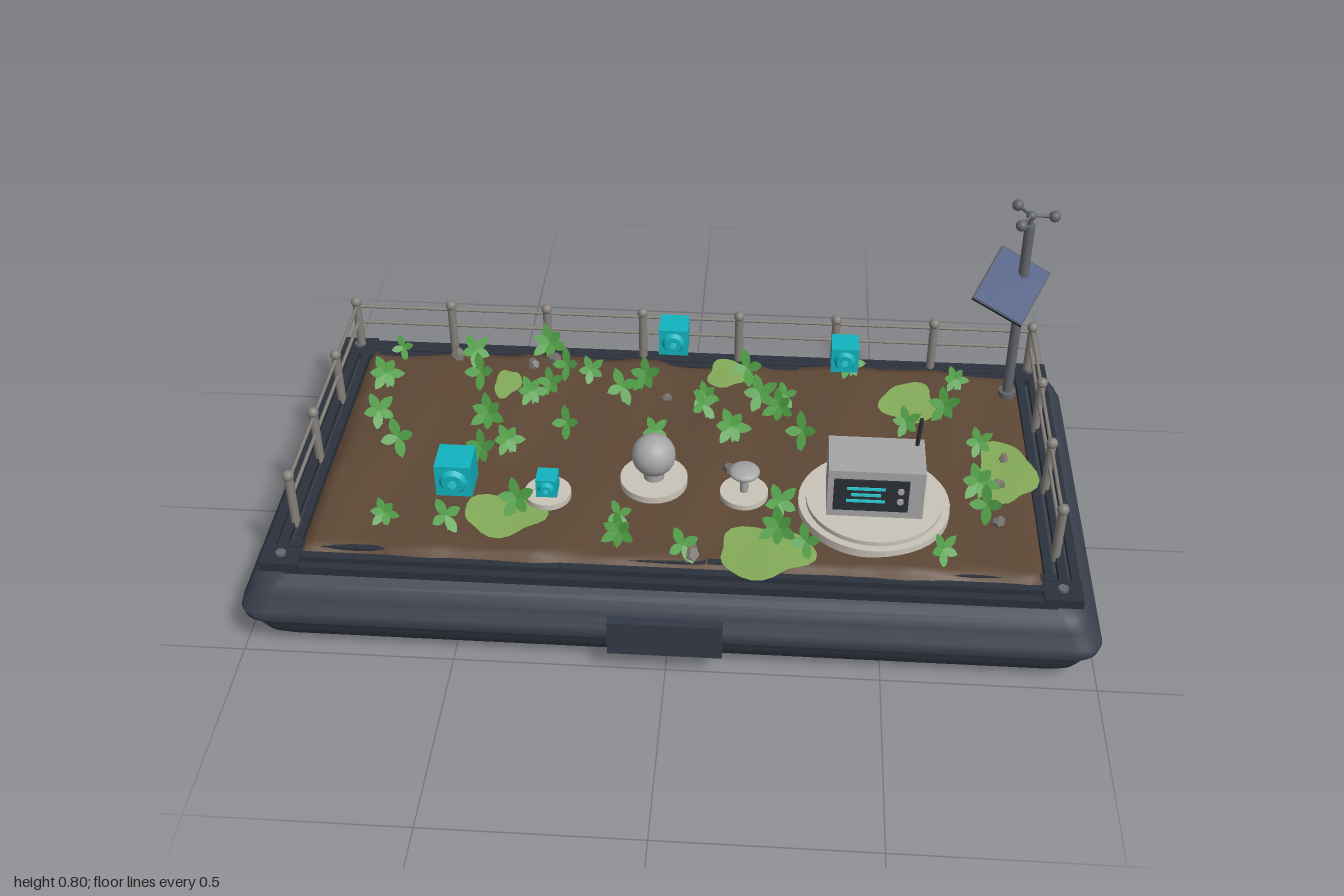
import * as THREE from 'three';
import { mergeGeometries, toCreasedNormals } from 'three/addons/utils/BufferGeometryUtils.js';

const mat = (color, extra = {}) => new THREE.MeshStandardMaterial({ color, ...extra });
const M = {
  hull: mat(0x3a404c), rail: mat(0x2c323c), soil: mat(0x5e4836, { side: THREE.DoubleSide }),
  moss: mat(0x86ad5a, { side: THREE.DoubleSide }), leaf: mat(0x4f9c45, { side: THREE.DoubleSide }),
  metal: mat(0x85807a), mast: mat(0x63666c), stone: mat(0xcac4b8), grey: mat(0xa6a6a6),
  rock: mat(0x77726c, { flatShading: true }), cyan: mat(0x12b4c0), lens: mat(0x2fd0dc),
  dark: mat(0x2b3036), panel: mat(0x2b4272), plate: mat(0x343a46),
};

export function createModel() {
  const root = new THREE.Group();
  const add = (name, geo, m, x = 0, y = 0, z = 0, parent = root) => {
    const mesh = new THREE.Mesh(geo, m);
    mesh.name = name;
    mesh.position.set(x, y, z);
    parent.add(mesh);
    return mesh;
  };
  const box = (w, h, d) => new THREE.BoxGeometry(w, h, d);
  const cyl = (r, h, r2 = r, n = 16) => new THREE.CylinderGeometry(r, r2, h, n);
  const ball = (r) => new THREE.SphereGeometry(r, 24, 16);
  const rod = (name, a, b, r, m) => {
    const A = new THREE.Vector3(...a), d = new THREE.Vector3(...b).sub(A);
    const mesh = add(name, cyl(r, d.length(), r, 10), m);
    mesh.position.copy(A).addScaledVector(d, 0.5);
    mesh.quaternion.setFromUnitVectors(new THREE.Vector3(0, 1, 0), d.normalize());
    return mesh;
  };

  // Float hull: rounded rectangles swept through an inset/height profile
  const HX = 1, HZ = 0.517, R = 0.06, STEPS = 7;
  const profile = [
    [null, 0], [0.11, 0], [0.08, 0.007], [0.053, 0.022], [0.033, 0.045], [0.02, 0.075], [0.014, 0.093],
    [0.003, 0.102], [0, 0.118], [0.004, 0.132], [0.014, 0.144], [0.02, 0.165], [0.036, 0.19],
    [0.055, 0.207], [0.08, 0.216], [0.11, 0.219], [0.15, 0.214], [0.17, 0.19], [null, 0.19],
  ];
  const pos = [], idx = [], N = 4 * (STEPS + 1);
  for (const [d, y] of profile) {
    for (let q = 0; q < 4; q++) for (let s = 0; s <= STEPS; s++) {
      if (d === null) { pos.push(0, y, 0); continue; }
      const t = (q + s / STEPS) * Math.PI / 2;
      const sx = q === 0 || q === 3 ? 1 : -1, sz = q < 2 ? 1 : -1;
      pos.push(sx * (HX - d - R) + R * Math.cos(t), y, sz * (HZ - d - R) + R * Math.sin(t));
    }
  }
  for (let j = 0; j < profile.length - 1; j++) for (let i = 0; i < N; i++) {
    const a = j * N + i, b = j * N + (i + 1) % N, c = a + N, e = b + N;
    idx.push(a, c, b, b, c, e);
  }
  const hullGeo = new THREE.BufferGeometry();
  hullGeo.setAttribute('position', new THREE.Float32BufferAttribute(pos, 3));
  hullGeo.setIndex(idx);
  add('floatHull', toCreasedNormals(hullGeo, 0.6), M.hull, 0, 0, -0.006);
  add('frontPlate', box(0.265, 0.095, 0.025), M.plate, 0, 0.117, 0.512);

  // Rim rails and corner blocks
  for (const s of [-1, 1]) {
    for (const [z, y, h] of [[0.45, 0.218, 0.022], [0.42, 0.225, 0.02], [0.388, 0.23, 0.02]])
      add('longRimRail', box(1.78, h, 0.02), M.rail, 0, y, s * z - 0.005);
    for (const [x, y] of [[0.935, 0.217], [0.905, 0.224], [0.872, 0.229]])
      add('shortRimRail', box(0.02, 0.022, 0.8), M.rail, s * x, y, -0.005);
    for (const z of [-0.43, 0.42]) {
      add('cornerBlock', box(0.09, 0.024, 0.07), M.rail, s * 0.9, 0.224, z);
      add('cornerBolt', cyl(0.012, 0.01), M.mast, s * 0.9, 0.238, z);
    }
  }

  // Uneven soil bed, dropping at its edge
  const ground = (x, z) => 0.246 + 0.004 * Math.sin(7 * x + 1) * Math.cos(9 * z) + 0.003 * Math.sin(23 * x + 5 * z);
  const drape = (geo, f, cx = 0, cz = 0) => {
    const p = geo.attributes.position;
    for (let i = 0; i < p.count; i++) p.setY(i, f(p.getX(i) + cx, p.getZ(i) + cz));
    geo.computeVertexNormals();
    return geo;
  };
  add('soilBed', drape(new THREE.PlaneGeometry(1.74, 0.84, 80, 40).rotateX(-Math.PI / 2), (x, z) => {
    const edge = Math.min(0.87 - Math.abs(x), 0.42 - Math.abs(z));
    const ragged = 0.018 + 0.016 * Math.sin(9 * x + 4 * z) * Math.sin(17 * x - 11 * z);
    return ground(x, z) - 0.03 * Math.max(0, 1 - edge / (ragged + 0.005));
  }), M.soil);

  // Moss patches: x, z, half width, half depth
  for (const [x, z, rx, rz] of [[-0.47, -0.26, 0.035, 0.06], [0.1, -0.35, 0.05, 0.065], [0.575, -0.25, 0.07, 0.085],
    [0.8, 0.02, 0.07, 0.12], [-0.4, 0.26, 0.1, 0.075], [0.22, 0.35, 0.11, 0.09]]) {
    const geo = new THREE.RingGeometry(0.001, 1, 28, 5).rotateX(-Math.PI / 2);
    const p = geo.attributes.position;
    for (let i = 0; i < p.count; i++) {
      const a = Math.atan2(p.getZ(i), p.getX(i)), w = 1 + 0.12 * Math.sin(3 * a + x * 9) + 0.06 * Math.sin(5 * a);
      p.setXYZ(i, p.getX(i) * rx * w, 0, p.getZ(i) * rz * w);
    }
    add('mossPatch', drape(geo, (u, v) => ground(u, v) + 0.003, x, z), M.moss, x, 0, z);
  }

  // Plants: rosettes of pointed leaves leaning back on a short stem
  const blade = new THREE.Shape();
  blade.moveTo(0, 0);
  blade.bezierCurveTo(0.017, 0.015, 0.017, 0.035, 0, 0.052);
  blade.bezierCurveTo(-0.017, 0.035, -0.017, 0.015, 0, 0);
  const plantGeo = (n) => {
    const parts = [];
    for (let i = 0; i < n; i++) {
      const g = new THREE.ShapeGeometry(blade, 6).rotateX(0.25).scale(1, i % 2 ? 0.8 : 1, 1);
      parts.push(g.rotateZ((i / n) * Math.PI * 2 + 0.3).translate(0, 0.045, 0));
    }
    parts.push(new THREE.PlaneGeometry(0.006, 0.06).translate(0, 0.02, 0));
    return mergeGeometries(parts).rotateX(-0.6);
  };
  const plants = [plantGeo(4), plantGeo(5), plantGeo(6)];
  const spots = [-0.77, -0.39, -0.56, -0.37, -0.38, -0.4, -0.33, -0.32, -0.25, -0.31, -0.78, -0.25, -0.55, -0.27,
    -0.36, -0.24, -0.39, -0.2, -0.16, -0.22, -0.12, -0.28, 0.05, -0.22, 0.06, -0.17, 0.19, -0.22, 0.23, -0.18,
    0.26, -0.24, -0.76, -0.08, -0.5, -0.09, -0.3, -0.08, -0.06, -0.06, 0.13, -0.07, 0.29, -0.07, 0.56, -0.14,
    -0.42, 0, -0.7, 0.03, -0.5, 0.05, -0.68, 0.29, -0.52, 0.31, -0.38, 0.24, -0.13, 0.33, -0.12, 0.26, 0.26, 0.21,
    0.24, 0.3, 0.31, 0.34, 0.64, 0.34, 0.73, 0.1, 0.73, 0.18, 0.74, -0.07, 0.43, -0.37, 0.15, -0.33, 0.65, -0.2,
    0.7, -0.33, 0.04, 0.37];
  for (let i = 0; i < spots.length; i += 2) {
    const x = spots[i], z = spots[i + 1], k = i / 2;
    const plant = add('plant', plants[k % 3], M.leaf, x, ground(x, z) - 0.006, z + 0.02);
    plant.scale.setScalar(0.75 + 0.3 * Math.abs(Math.sin(k * 2.3)));
    plant.rotation.y = 0.5 * Math.sin(k * 1.7);
  }

  // Rocks
  [[-0.7, 0.02], [-0.41, -0.34], [-0.36, -0.37], [-0.09, 0], [0.8, -0.03], [0.78, 0.07], [0.13, 0.06], [0.05, 0.37],
    [-0.05, -0.23], [0.77, 0.21], [-0.62, -0.38]].forEach(([x, z], i) => {
    const rock = add('rock', new THREE.DodecahedronGeometry(0.014 + 0.004 * (i % 4)), M.rock, x, ground(x, z) + 0.006, z);
    rock.rotation.set(i, i * 2, 0);
    rock.scale.set(1.1, 0.8, 0.85);
  });

  // Fence along the back and both sides
  const FX = 0.895, FB = -0.435, FF = 0.3;
  const post = (x, z) => {
    add('fencePost', cyl(0.011, 0.15), M.metal, x, 0.298, z);
    add('fenceKnob', ball(0.014), M.metal, x, 0.373, z);
  };
  for (let i = 0; i < 8; i++) post(-FX + (2 * FX * i) / 7, FB);
  for (const s of [-1, 1]) for (let i = 1; i < 4; i++) post(s * FX, FB + ((FF - FB) * i) / 3);
  for (const y of [0.31, 0.36]) {
    rod('backFenceRail', [-FX, y, FB], [FX, y, FB], 0.0045, M.metal);
    for (const s of [-1, 1]) rod('sideFenceRail', [s * FX, y, FB], [s * FX, y, FF], 0.0045, M.metal);
  }

  // Weather mast with spinning cups
  const mx = 0.83, mz = -0.305;
  add('mast', cyl(0.013, 0.52), M.mast, mx, 0.5, mz);
  add('mastFoot', cyl(0.022, 0.015), M.mast, mx, 0.255, mz);
  add('mastSpindle', cyl(0.006, 0.04), M.mast, mx, 0.772, mz);
  add('mastHub', ball(0.012), M.mast, mx, 0.785, mz);
  for (let i = 0; i < 3; i++) {
    const a = (i * Math.PI * 2) / 3, x = mx + 0.056 * Math.cos(a), z = mz + 0.056 * Math.sin(a);
    rod('cupArm', [mx, 0.785, mz], [x, 0.785, z], 0.004, M.mast);
    add('cup', ball(0.014), M.mast, x, 0.785, z);
  }
  // Tilted solar panel
  const solar = new THREE.Group();
  solar.name = 'solarPanel';
  const u = new THREE.Vector3(0.12, -0.05, 0.04).normalize(), v = new THREE.Vector3(0.08, 0.075, -0.12);
  const n = u.clone().cross(v).normalize();
  solar.quaternion.setFromRotationMatrix(new THREE.Matrix4().makeBasis(u, n.clone().cross(u), n));
  solar.position.set(0.8, 0.6, -0.277);
  add('panelFrame', box(0.138, 0.164, 0.01), M.dark, 0, 0, 0, solar);
  add('panelCells', box(0.132, 0.158, 0.004), M.panel, 0, 0, 0.005, solar);
  root.add(solar);

  // Control box on its round plinth
  add('plinthBase', cyl(0.18, 0.022, 0.18, 40), M.stone, 0.475, 0.258, 0.175);
  add('plinthTop', cyl(0.162, 0.014, 0.162, 40), M.stone, 0.475, 0.274, 0.175);
  add('controlBox', box(0.225, 0.137, 0.132), M.grey, 0.473, 0.346, 0.181);
  add('screen', box(0.175, 0.09, 0.006), M.dark, 0.462, 0.347, 0.248);
  for (const [y, w] of [[0.368, 0.09], [0.35, 0.07], [0.332, 0.09]])
    add('screenLine', box(w, 0.008, 0.004), M.lens, 0.45, y, 0.251);
  for (const y of [0.365, 0.335]) add('screenKnob', cyl(0.008, 0.008).rotateX(Math.PI / 2), M.grey, 0.53, y, 0.252);
  rod('antenna', [0.567, 0.4, 0.136], [0.572, 0.495, 0.143], 0.005, M.dark);

  // Globe, dish and small cube instruments on discs
  add('globeBase', cyl(0.082, 0.018, 0.082, 32), M.stone, -0.055, 0.258, 0.115);
  add('globeStem', cyl(0.025, 0.03), M.grey, -0.055, 0.278, 0.115);
  add('globe', ball(0.053), M.grey, -0.055, 0.334, 0.115);
  add('dishBase', cyl(0.058, 0.014, 0.058, 32), M.stone, 0.165, 0.257, 0.15);
  add('dishStem', cyl(0.01, 0.06), M.grey, 0.165, 0.29, 0.15);
  add('dishCap', ball(0.037), M.grey, 0.165, 0.322, 0.15).scale.y = 0.4;
  add('smallCubeBase', cyl(0.056, 0.016, 0.056, 32), M.stone, -0.305, 0.258, 0.185);

  // Cyan sensor cubes, each with a round lens on the front
  for (const [x, y, z, s] of [[-0.515, 0.347, 0.222, 0.086], [-0.038, 0.367, -0.346, 0.075],
    [0.405, 0.355, -0.31, 0.07], [-0.305, 0.291, 0.185, 0.05]]) {
    add('sensorCube', box(s, s, s), M.cyan, x, y, z);
    add('sensorLens', cyl(s * 0.3, 0.012, s * 0.4, 24).rotateX(Math.PI / 2), M.cyan, x, y, z + s / 2 + 0.005);
    add('sensorPupil', cyl(s * 0.12, 0.004).rotateX(Math.PI / 2), M.lens, x, y, z + s / 2 + 0.012);
  }
  return root;
}
